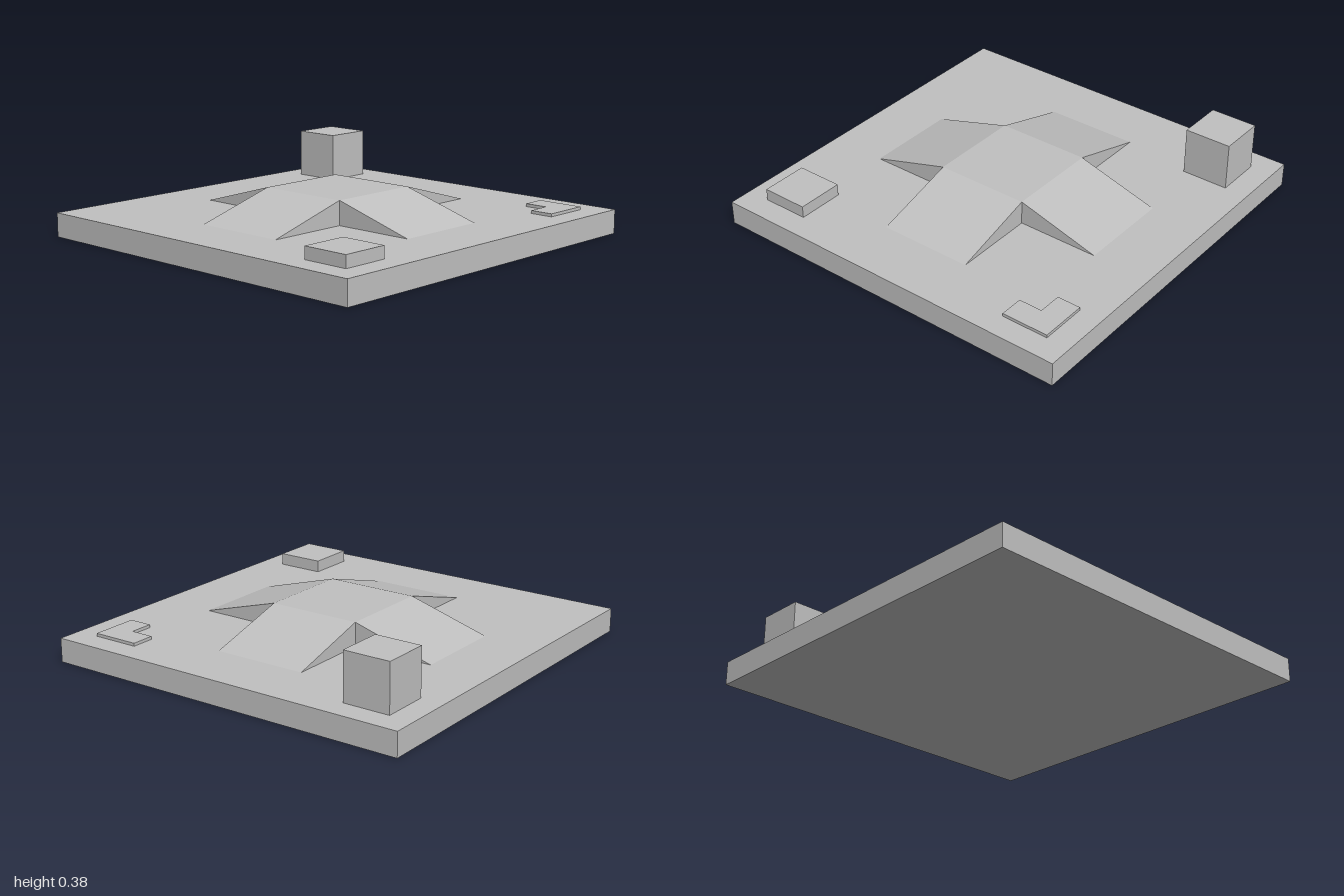
import * as THREE from 'three';

export function createModel() {
  const model = new THREE.Group();
  const grey = new THREE.MeshStandardMaterial({ color: 0xc0c0c0 });
  const floor = 0.125, deck = 0.25, half = 0.25, toe = 0.685;

  function add(name, geometry, x = 0, y = 0, z = 0) {
    const mesh = new THREE.Mesh(geometry, grey);
    mesh.name = name;
    mesh.position.set(x, y, z);
    model.add(mesh);
    return mesh;
  }
  const block = (name, w, h, d, x, y, z) =>
    add(name, new THREE.BoxGeometry(w, h, d), x, y + h / 2, z);
  const extrude = (points, depth) => new THREE.ExtrudeGeometry(
    new THREE.Shape(points.map(([x, y]) => new THREE.Vector2(x, y))),
    { depth, bevelEnabled: false });

  // Square ground slab
  block('base', 2, floor, 2, 0, 0, 0);

  // Raised square platform with a ramp on each of its four sides
  block('platform', 2 * half, deck - floor, 2 * half, 0, floor, 0);
  const wedge = extrude([[half, floor], [toe, floor], [half, deck]], 2 * half);
  wedge.translate(0, 0, -half);
  ['leftRamp', 'backRamp', 'rightRamp', 'frontRamp'].forEach((name, i) => {
    add(name, wedge).rotation.y = i * Math.PI / 2;
  });

  // Corner markers: a tall block, a low block and a thin L-shaped plate
  block('tallBlock', 0.25, 0.25, 0.25, -0.75, floor, -0.75);
  block('lowBlock', 0.25, 0.0625, 0.25, 0.75, floor, 0.75);
  const corner = extrude([
    [-0.125, 0.125], [-0.125, 0], [0, 0], [0, -0.125], [0.125, -0.125], [0.125, 0.125],
  ], 0.0156);
  corner.rotateX(-Math.PI / 2);
  add('cornerPlate', corner, 0.75, floor, -0.75);

  return model;
}
